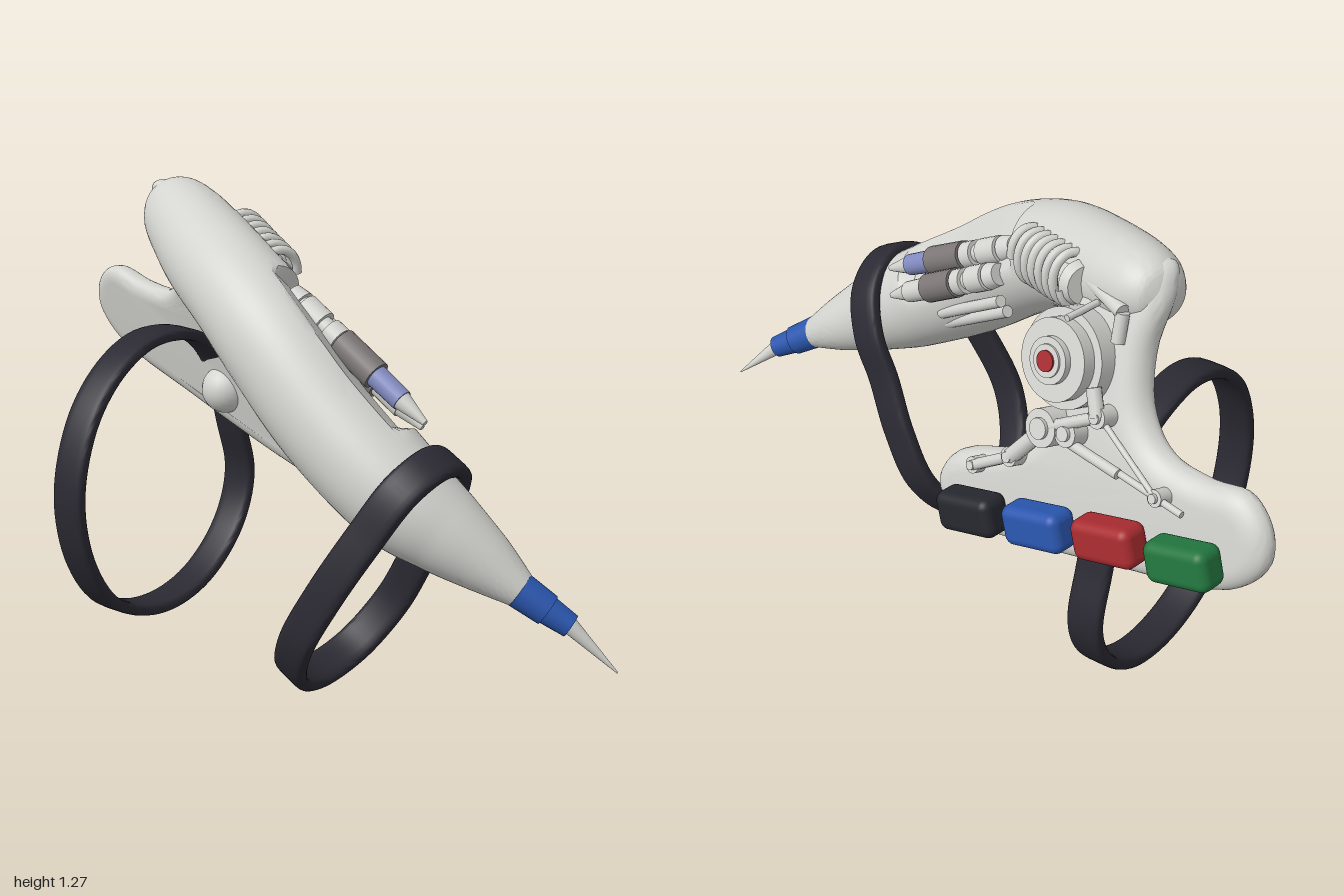
import * as THREE from 'three';
import { toCreasedNormals, mergeVertices } from 'three/addons/utils/BufferGeometryUtils.js';
import { RoundedBoxGeometry } from 'three/addons/geometries/RoundedBoxGeometry.js';

const V = (x, y, z) => new THREE.Vector3(x, y, z);
const material = (name, color) => {
  const m = new THREE.MeshStandardMaterial({ color });
  m.name = name;
  return m;
};

export function createModel() {
  const model = new THREE.Group();
  model.name = 'wristGadget';
  const shell = material('shellWhite', 0xd3d3cf);
  const rubber = material('strapDark', 0x2b2a33);
  const black = material('buttonBlack', 0x26282f);
  const blue = material('blue', 0x2a56ae);
  const red = material('red', 0xa82c30);
  const green = material('green', 0x23763f);
  const grey = material('sleeveGrey', 0x7c7676);
  const lilac = material('sleeveLilac', 0x828bc0);

  const add = (name, geometry, mat, parent = model) => {
    const mesh = new THREE.Mesh(geometry, mat);
    mesh.name = name;
    parent.add(mesh);
    return mesh;
  };
  // Tapered cylinder between two points
  const rod = (name, a, b, ra, rb, mat, parent = model, sides = 20) => {
    const mesh = add(name, new THREE.CylinderGeometry(rb, ra, a.distanceTo(b), sides), mat, parent);
    mesh.position.copy(a).lerp(b, 0.5);
    mesh.quaternion.setFromUnitVectors(V(0, 1, 0), b.clone().sub(a).normalize());
    return mesh;
  };
  // Skin over rings of points; each ring is closed
  const loft = (rings, loop) => {
    const n = rings[0].length, count = rings.length, index = [];
    for (let i = 0; i < (loop ? count : count - 1); i++) {
      const k = (i + 1) % count;
      for (let j = 0; j < n; j++) {
        const m = (j + 1) % n;
        index.push(i * n + j, k * n + j, i * n + m, i * n + m, k * n + j, k * n + m);
      }
    }
    const g = new THREE.BufferGeometry().setFromPoints(rings.flat());
    g.setIndex(index);
    return toCreasedNormals(g, 0.65);
  };

  // Main curved body: centre x, y, z and radius
  const stations = [
    [0.295, 0.44, 0.825, 0.042], [0.237, 0.503, 0.74, 0.08], [0.168, 0.572, 0.65, 0.113],
    [0.10, 0.645, 0.555, 0.138], [0.02, 0.80, 0.35, 0.15], [-0.03, 0.96, 0.156, 0.15],
    [-0.05, 1.052, 0, 0.14], [-0.045, 1.108, -0.17, 0.133], [-0.035, 1.158, -0.32, 0.117],
    [-0.03, 1.18, -0.40, 0.1], [-0.03, 1.187, -0.455, 0.068], [-0.03, 1.19, -0.482, 0.004],
  ];
  const path = new THREE.CatmullRomCurve3(stations.map((s) => V(s[0], s[1], s[2])));
  const radii = new THREE.CatmullRomCurve3(stations.map((s, i) => V(s[3], i * 0.05, 0)));
  const pocket = V(0.75, 0.55, 0.4).normalize();
  const bodyRings = [];
  for (let i = 0; i <= 110; i++) {
    const t = i / 110, c = path.getPoint(t), r = Math.max(radii.getPoint(t).x, 0.002);
    const tangent = path.getTangent(t);
    const side = tangent.clone().cross(V(0, 1, 0)).normalize();
    const up = side.clone().cross(tangent);
    const ring = [];
    for (let j = 0; j < 48; j++) {
      const a = (j / 48) * Math.PI * 2;
      const o = side.clone().multiplyScalar(r * Math.cos(a)).addScaledVector(up, r * Math.sin(a));
      // Flat pocket under the pistons
      const over = o.dot(pocket) - 0.105;
      if (over > 0 && c.z < 0.46 && c.z > 0.06) o.addScaledVector(pocket, -over);
      ring.push(o.add(c));
    }
    bodyRings.push(ring);
  }
  add('body', loft(bodyRings), shell);

  // Blue collar and needle
  rod('collarRear', V(0.285, 0.45, 0.815), V(0.335, 0.405, 0.868), 0.047, 0.042, blue);
  rod('collarFront', V(0.33, 0.409, 0.863), V(0.375, 0.37, 0.912), 0.038, 0.031, blue);
  rod('needle', V(0.37, 0.376, 0.905), V(0.46, 0.258, 1.0), 0.023, 0.002, shell);

  // Side arm and button bar: outline as z, y on a curved, slanted sheet
  const mid = (z, y) => {
    const h = y - 0.5 + 0.3375 * (z + 0.09);
    return 0.3 + 0.3125 * (z + 0.09) - 0.2 * h - 0.29 * h * Math.max(h, 0);
  };
  const normal = V(1, 0.37, -0.19).normalize();
  const onArm = (z, y, h) => V(mid(z, y), y, z).addScaledVector(normal, h);
  const outline = [
    [-0.43, 1.266], [-0.48, 1.205], [-0.496, 1.07], [-0.55, 0.947], [-0.64, 0.876], [-0.77, 0.872],
    [-0.887, 0.893], [-0.968, 0.835], [-0.99, 0.743], [-0.92, 0.645], [-0.61, 0.535], [-0.19, 0.414],
    [-0.083, 0.405], [0, 0.48], [-0.025, 0.572], [-0.18, 0.658], [-0.29, 0.749], [-0.335, 0.856],
    [-0.308, 0.925], [-0.23, 0.97], [-0.27, 1.17],
  ];
  const edge = new THREE.CatmullRomCurve3(outline.map(([z, y]) => V(-z, y, 0)), true);
  const armShape = new THREE.Shape(edge.getPoints(100).slice(0, -1).map((p) => new THREE.Vector2(p.x, p.y)));
  let arm = new THREE.ExtrudeGeometry(armShape, {
    depth: 0.01, bevelEnabled: true, bevelThickness: 0.046, bevelSize: 0.05, bevelOffset: -0.05, bevelSegments: 7,
  });
  arm.translate(0, 0, -0.005).rotateY(Math.PI / 2);
  const pos = arm.attributes.position;
  for (let i = 0; i < pos.count; i++) {
    const z = pos.getZ(i), thin = 1 + 0.5 * Math.min(0, z + 0.5); // thinner towards the back
    pos.setX(i, pos.getX(i) * thin + mid(z, pos.getY(i)));
  }
  arm.deleteAttribute('uv');
  arm.deleteAttribute('normal');
  arm = toCreasedNormals(mergeVertices(arm, 1e-4), 0.8);
  add('armAndBar', arm, shell);
  const mount = add('strapMount', new THREE.SphereGeometry(0.07, 20, 14), shell);
  mount.position.copy(onArm(-0.47, 0.62, -0.03));

  // Four buttons along the bar, facing straight out to the side
  const along = V(0.3125, -0.3375, 1).normalize();
  const across = V(0.95, 0.1, -0.263).cross(along).normalize();
  const basis = new THREE.Matrix4().makeBasis(along, across, along.clone().cross(across));
  [['black', -0.19, 0.508, black], ['blue', -0.405, 0.58, blue], ['red', -0.62, 0.655, red], ['green', -0.838, 0.712, green]]
    .forEach(([name, z, y, mat]) => {
      const b = add(name + 'Button', new RoundedBoxGeometry(0.193, 0.11, 0.09, 4, 0.027), mat);
      b.quaternion.setFromRotationMatrix(basis);
      b.position.set(mid(z, y) + 0.09, y, z);
    });

  // Straps: rounded band swept round a planar loop
  const strap = (name, points, width, thick, axis) => {
    const curve = new THREE.CatmullRomCurve3(points, true);
    const rings = [];
    for (let i = 0; i < 96; i++) {
      const p = curve.getPoint(i / 96);
      const out = curve.getTangent(i / 96).cross(axis).normalize();
      rings.push(Array.from({ length: 16 }, (_, j) => {
        const a = ((j + 0.5) / 16) * Math.PI * 2, c = Math.cos(a), s = Math.sin(a);
        return p.clone().addScaledVector(out, Math.sign(c) * Math.abs(c) ** 0.45 * thick / 2)
          .addScaledVector(axis, Math.sign(s) * Math.abs(s) ** 0.45 * width / 2);
      }));
    }
    add(name, loft(rings, true), rubber);
  };
  const frontLoop = [
    [0.13, 0.76], [0.025, 0.715], [-0.055, 0.58], [-0.125, 0.42], [-0.16, 0.26], [-0.11, 0.125], [0.01, 0.07],
    [0.15, 0.105], [0.245, 0.22], [0.27, 0.36], [0.268, 0.5], [0.275, 0.61], [0.235, 0.715],
  ].map(([x, y]) => V(x, y, 0.67 - 0.575 * (0.76 - y) - 0.38 * (x - 0.08)));
  strap('frontStrap', frontLoop, 0.1, 0.038, V(0.38, -0.575, 1).normalize());
  const rearLoop = [
    [0.24, 0.33], [0.205, 0.47], [0.17, 0.6], [0.12, 0.72], [0.02, 0.805], [-0.15, 0.838], [-0.28, 0.79],
    [-0.38, 0.69], [-0.438, 0.55], [-0.45, 0.42], [-0.415, 0.26], [-0.33, 0.12], [-0.21, 0.045], [-0.08, 0.022],
    [0.05, 0.05], [0.16, 0.13], [0.22, 0.225],
  ].map(([x, y]) => V(x, y, -0.25 - 0.42 * (x + 0.44)));
  strap('rearStrap', rearLoop, 0.1, 0.034, V(0.42, 0, 1).normalize());

  // Twin pistons in the pocket: start, end, radii and material per section
  const piston = (name, a, b, sleeve) => {
    const g = new THREE.Group();
    g.name = name;
    model.add(g);
    [['endCap', 0, 0.08, 0.03, 0.036, shell], ['barrel', 0.1, 0.24, 0.037, 0.037, shell],
      ['neck', 0.05, 0.4, 0.025, 0.025, shell], ['ring', 0.29, 0.37, 0.036, 0.036, shell],
      ['greySleeve', 0.38, 0.64, 0.04, 0.04, grey], ['frontSleeve', 0.64, 0.83, 0.031, 0.029, sleeve],
      ['tip', 0.83, 1, 0.026, 0.008, shell]].forEach(([part, s, e, ra, rb, mat]) =>
      rod(part, a.clone().lerp(b, s), a.clone().lerp(b, e), ra, rb, mat, g));
  };
  piston('upperPiston', V(0.05, 1.06, 0.09), V(0.195, 0.81, 0.51), lilac);
  piston('lowerPiston', V(0.105, 1.0, 0.08), V(0.23, 0.77, 0.445), shell);
  for (let i = 0; i < 2; i++) {
    rod('pocketRail', V(0.115 - i * 0.02, 0.93 - i * 0.04, 0.06), V(0.15 - i * 0.02, 0.76 - i * 0.04, 0.31), 0.016, 0.016, shell);
  }

  // Coil spring round a core
  const s0 = V(0.055, 1.09, 0.01), s1 = V(0.07, 1.145, -0.24);
  const axis = s1.clone().sub(s0).normalize();
  const e1 = axis.clone().cross(V(0, 1, 0)).normalize(), e2 = e1.clone().cross(axis);
  const coil = Array.from({ length: 7 * 14 + 1 }, (_, i) => {
    const a = (i / 14) * Math.PI * 2;
    return s0.clone().lerp(s1, i / 98).addScaledVector(e1, 0.055 * Math.cos(a)).addScaledVector(e2, 0.07 * Math.sin(a));
  });
  add('spring', new THREE.TubeGeometry(new THREE.CatmullRomCurve3(coil), 300, 0.013, 8), shell);
  rod('springCore', s0, s1, 0.04, 0.04, shell);
  rod('springSeat', s1, s1.clone().addScaledVector(axis, 0.03), 0.06, 0.05, shell);

  // Round joint: stepped discs from inner to outer
  const disc = (name, z, y, h0, h1, r, mat) => rod(name, onArm(z, y, h0), onArm(z, y, h1), r, r, mat, model, 40);
  [['jointBase', 0, 0.095, 0.128, shell], ['jointDrum', 0.095, 0.132, 0.105, shell], ['jointBoss', 0.132, 0.15, 0.06, shell],
    ['jointRing', 0.15, 0.156, 0.042, shell], ['jointCentre', 0.156, 0.161, 0.027, red]].forEach(([name, h0, h1, r, mat]) =>
    disc(name, -0.325, 0.987, h0, h1, r, mat));

  // Linkage: pivots and rods on the arm, as z, y
  const link = (name, a, b, h, r) => rod(name, onArm(a[0], a[1], h), onArm(b[0], b[1], h), r, r, shell, model, 10);
  const hub = [-0.333, 0.805], elbow = [-0.25, 0.68], foot = [-0.135, 0.595], top = [-0.48, 0.905], far = [-0.7, 0.797];
  [[hub, 0.05, 0.1], [[-0.405, 0.825], 0.035, 0.095], [elbow, 0.026, 0.085], [foot, 0.022, 0.075], [top, 0.028, 0.095], [far, 0.022, 0.085]]
    .forEach(([p, r, h]) => {
      disc('pivot', p[0], p[1], 0.03, h, r, shell);
      disc('pivotCap', p[0], p[1], h, h + 0.01, r * 0.55, shell);
    });
  link('frontLinkUpper', hub, elbow, 0.075, 0.022);
  link('frontLinkLower', elbow, foot, 0.068, 0.015);
  link('rearLink', hub, [-0.58, 0.8], 0.08, 0.014);
  link('rearRod', [-0.48, 0.805], [-0.78, 0.792], 0.075, 0.009);
  link('topLink', hub, top, 0.085, 0.016);
  link('crossRod', top, far, 0.08, 0.008);
  link('jointHook', top, [-0.44, 0.965], 0.09, 0.02);

  // Small bracket and pin above the joint
  rod('bracket', V(0.06, 1.17, -0.27), V(0.07, 1.165, -0.43), 0.02, 0.02, shell);
  rod('bracketLeg', V(0.07, 1.165, -0.43), V(0.09, 1.09, -0.44), 0.018, 0.018, shell);
  rod('pin', V(0.06, 1.14, -0.33), V(0.185, 1.15, -0.36), 0.009, 0.009, shell, model, 10);
  return model;
}
